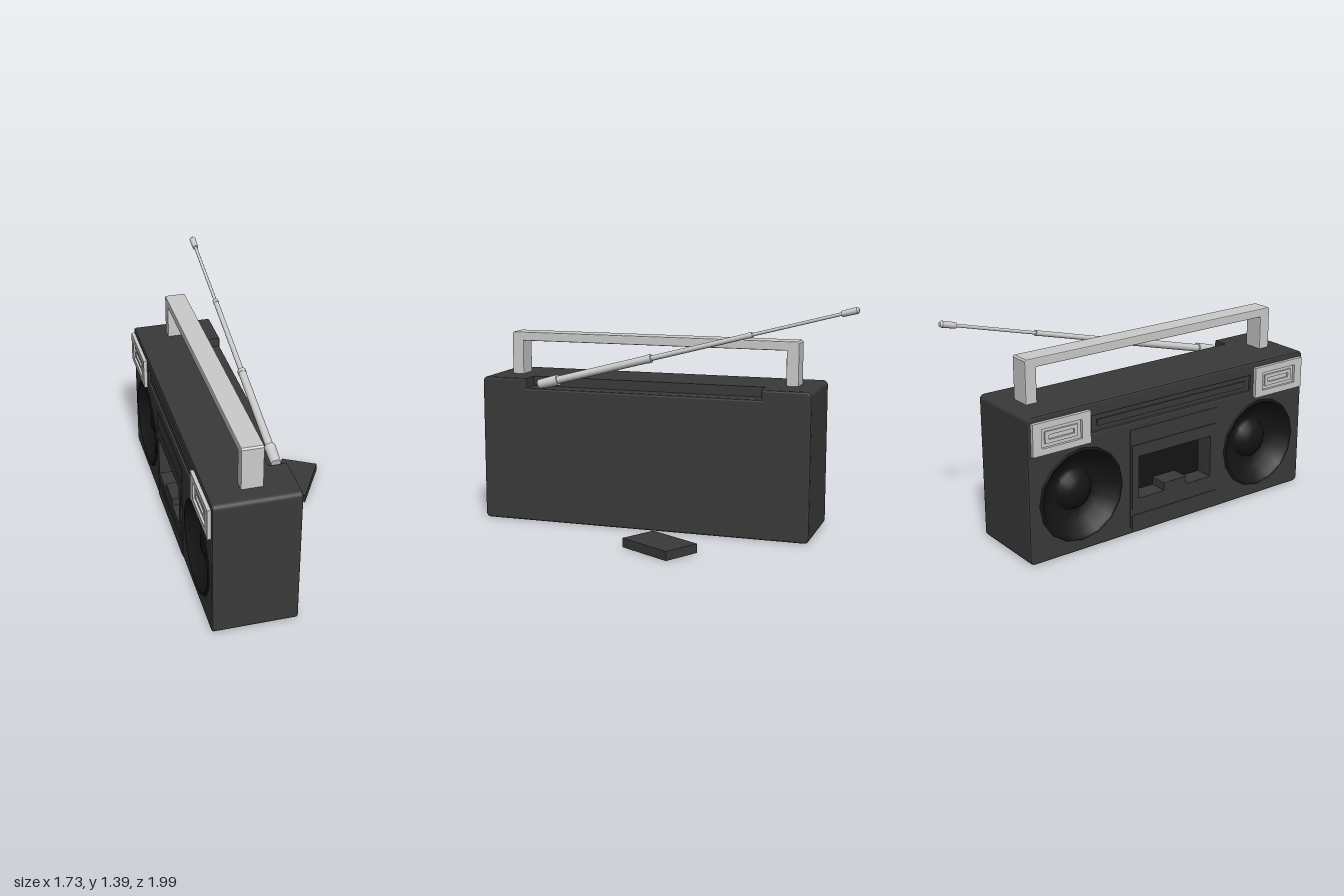
import * as THREE from 'three';

const mat = (color) => new THREE.MeshStandardMaterial({ color, side: THREE.DoubleSide });
const grey = mat(0xcccccc), dark = mat(0x3a3a3a), black = mat(0x141414);
const W = 2.075, H = 0.9, D = 0.515, R = 0.03, FRONT = D / 2;

function add(parent, name, geometry, material, x = 0, y = 0, z = 0) {
  const m = new THREE.Mesh(geometry, material);
  m.name = name;
  m.position.set(x, y, z);
  parent.add(m);
  return m;
}

// Rectangle centred on x, from y0 to y1
function rect(w, y0, y1, x = 0, Type = THREE.Shape) {
  const p = new Type();
  p.moveTo(x - w / 2, y0).lineTo(x + w / 2, y0).lineTo(x + w / 2, y1).lineTo(x - w / 2, y1).closePath();
  return p;
}

function polygon(pts) {
  return new THREE.Shape(pts.map(([x, y]) => new THREE.Vector2(x, y)));
}

// Cabinet outline, with an optional notch in the top edge
function cabinet(notch) {
  const s = new THREE.Shape(), w = W / 2;
  s.moveTo(-w + R, 0).lineTo(w - R, 0).absarc(w - R, R, R, -Math.PI / 2, 0);
  s.lineTo(w, H - R).absarc(w - R, H - R, R, 0, Math.PI / 2);
  if (notch) s.lineTo(0.74, H).lineTo(0.74, 0.84).lineTo(-0.74, 0.84).lineTo(-0.74, H);
  s.lineTo(-w + R, H).absarc(-w + R, H - R, R, Math.PI / 2, Math.PI);
  s.lineTo(-w, R).absarc(-w + R, R, R, Math.PI, Math.PI * 1.5);
  return s;
}

// Extrudes a shape between two z positions, with an optional bevel
function slab(shape, z0, z1, b = 0) {
  const g = new THREE.ExtrudeGeometry(shape, {
    depth: z1 - z0 - 2 * b, curveSegments: 8, bevelEnabled: b > 0,
    bevelSize: b, bevelThickness: b, bevelOffset: -b, bevelSegments: 2,
  });
  return g.translate(0, 0, z0 + b);
}

// Opening of the cassette window, with a tab in its lower edge
function windowHole() {
  return new THREE.Path([
    [-0.275, 0.225], [-0.085, 0.225], [-0.085, 0.275], [0.085, 0.275],
    [0.085, 0.225], [0.275, 0.225], [0.275, 0.495], [-0.275, 0.495],
  ].map(([x, y]) => new THREE.Vector2(x, y)));
}

function buildBody(radio) {
  const front = cabinet(false);
  for (const x of [-0.68, 0.68]) {
    const hole = new THREE.Path();
    hole.absarc(x, 0.355, 0.28, 0, Math.PI * 2);
    front.holes.push(hole);
  }
  front.holes.push(windowHole(), rect(1.2, 0.72, 0.815, 0, THREE.Path));
  add(radio, 'frontCabinet', slab(front, 0.1, FRONT, 0.012), dark);
  add(radio, 'middleCabinet', slab(cabinet(false), -0.145, 0.13), dark);
  add(radio, 'backCabinet', slab(cabinet(true), -FRONT, -0.115, 0.012), dark);
}

function buildFront(radio) {
  // Speakers: rim, recessed cone and centre dome
  const cone = new THREE.LatheGeometry([
    [0.29, 0], [0.285, 0.008], [0.27, 0.006], [0.262, -0.02], [0.2, -0.07], [0.13, -0.105],
    [0.12, -0.075], [0.085, -0.045], [0.045, -0.03], [0, -0.025],
  ].map(([x, y]) => new THREE.Vector2(x, y)).reverse(), 16).rotateX(Math.PI / 2);
  for (const side of [-1, 1]) {
    add(radio, 'speaker', cone, black, side * 0.68, 0.355, FRONT);

    // Tweeter plate: frame, recessed back and slotted insert
    const plate = new THREE.Group();
    plate.name = 'tweeterPlate';
    plate.position.set(side * 0.82, 0.768, FRONT);
    const frame = rect(0.39, -0.098, 0.098);
    frame.holes.push(rect(0.27, -0.058, 0.058, 0, THREE.Path));
    const insert = rect(0.22, -0.036, 0.036);
    insert.holes.push(rect(0.17, -0.014, 0.014, 0, THREE.Path));
    add(plate, 'tweeterFrame', slab(frame, -0.01, 0.022), grey);
    add(plate, 'tweeterBack', new THREE.BoxGeometry(0.28, 0.12, 0.01), grey);
    add(plate, 'tweeterInsert', slab(insert, 0, 0.016), grey);
    radio.add(plate);
  }

  // Tuner strip sunk into the upper front
  add(radio, 'tunerPanel', new THREE.BoxGeometry(1.2, 0.095, 0.1), dark, 0, 0.768, FRONT - 0.065);
  add(radio, 'tunerScale', new THREE.BoxGeometry(1.12, 0.04, 0.012), dark, 0, 0.768, FRONT - 0.012);

  // Cassette deck: raised panel, door, lower trim and dark bay
  const deck = rect(0.67, 0.015, 0.67), door = rect(0.65, 0.165, 0.57);
  deck.holes.push(windowHole());
  door.holes.push(windowHole());
  add(radio, 'deckPanel', slab(deck, FRONT - 0.01, FRONT + 0.004), dark);
  add(radio, 'cassetteDoor', slab(door, FRONT - 0.01, FRONT + 0.01), dark);
  add(radio, 'deckTrim', slab(rect(0.65, 0.025, 0.12), FRONT - 0.01, FRONT + 0.008), dark);
  add(radio, 'cassetteBay', new THREE.BoxGeometry(0.56, 0.28, 0.02), black, 0, 0.36, 0.14);
}

function buildHandle(radio) {
  const outline = polygon([
    [-0.92, 0.88], [-0.845, 0.88], [-0.845, 1.11], [0.845, 1.11], [0.845, 0.88],
    [0.92, 0.88], [0.92, 1.155], [0.91, 1.165], [-0.91, 1.165], [-0.92, 1.155],
  ]);
  add(radio, 'handle', slab(outline, -0.065, 0.065, 0.006), grey);
}

function buildAntenna(radio) {
  const antenna = new THREE.Group();
  antenna.name = 'antenna';
  antenna.position.set(0.676, 0.86, -0.21);
  antenna.rotation.z = THREE.MathUtils.degToRad(75.3);
  // Start, end, lower radius, upper radius
  const sections = [
    ['antennaBase', 0, 0.13, 0.03, 0.034], ['antennaTube', 0.13, 0.75, 0.024, 0.024],
    ['antennaTube', 0.75, 1.39, 0.016, 0.016], ['antennaTube', 1.39, 1.94, 0.01, 0.01],
    ['antennaTip', 1.93, 2.02, 0.018, 0.02], ['antennaTip', 2.02, 2.032, 0.02, 0.012],
    ['antennaCollar', 0.73, 0.755, 0.026, 0.026], ['antennaCollar', 1.37, 1.395, 0.018, 0.018],
  ];
  for (const [name, a, b, r0, r1] of sections)
    add(antenna, name, new THREE.CylinderGeometry(r1, r0, b - a, 16), grey, 0, (a + b) / 2, 0);
  radio.add(antenna);
}

// Loose battery cover lying on the floor, with a slanted lip seam
function buildCover(model) {
  const cover = new THREE.Group();
  cover.name = 'batteryCover';
  cover.position.set(0.606, 0, 0.16);
  cover.rotation.y = THREE.MathUtils.degToRad(115);
  const plate = polygon([[-0.12, 0], [0.09, 0], [0.05, 0.055], [-0.12, 0.055]]);
  const lip = polygon([[0.09, 0], [0.12, 0], [0.12, 0.055], [0.05, 0.055]]);
  add(cover, 'coverPlate', slab(plate, -0.1875, 0.1875), dark);
  add(cover, 'coverLip', slab(lip, -0.1865, 0.1865), dark);
  model.add(cover);
}

export function createModel() {
  const model = new THREE.Group();
  model.name = 'portableRadio';
  const radio = new THREE.Group();
  radio.name = 'radio';
  radio.position.set(-0.055, 0, -0.005);
  radio.rotation.y = THREE.MathUtils.degToRad(-125);
  buildBody(radio);
  buildFront(radio);
  buildHandle(radio);
  buildAntenna(radio);
  model.add(radio);
  buildCover(model);
  return model;
}
